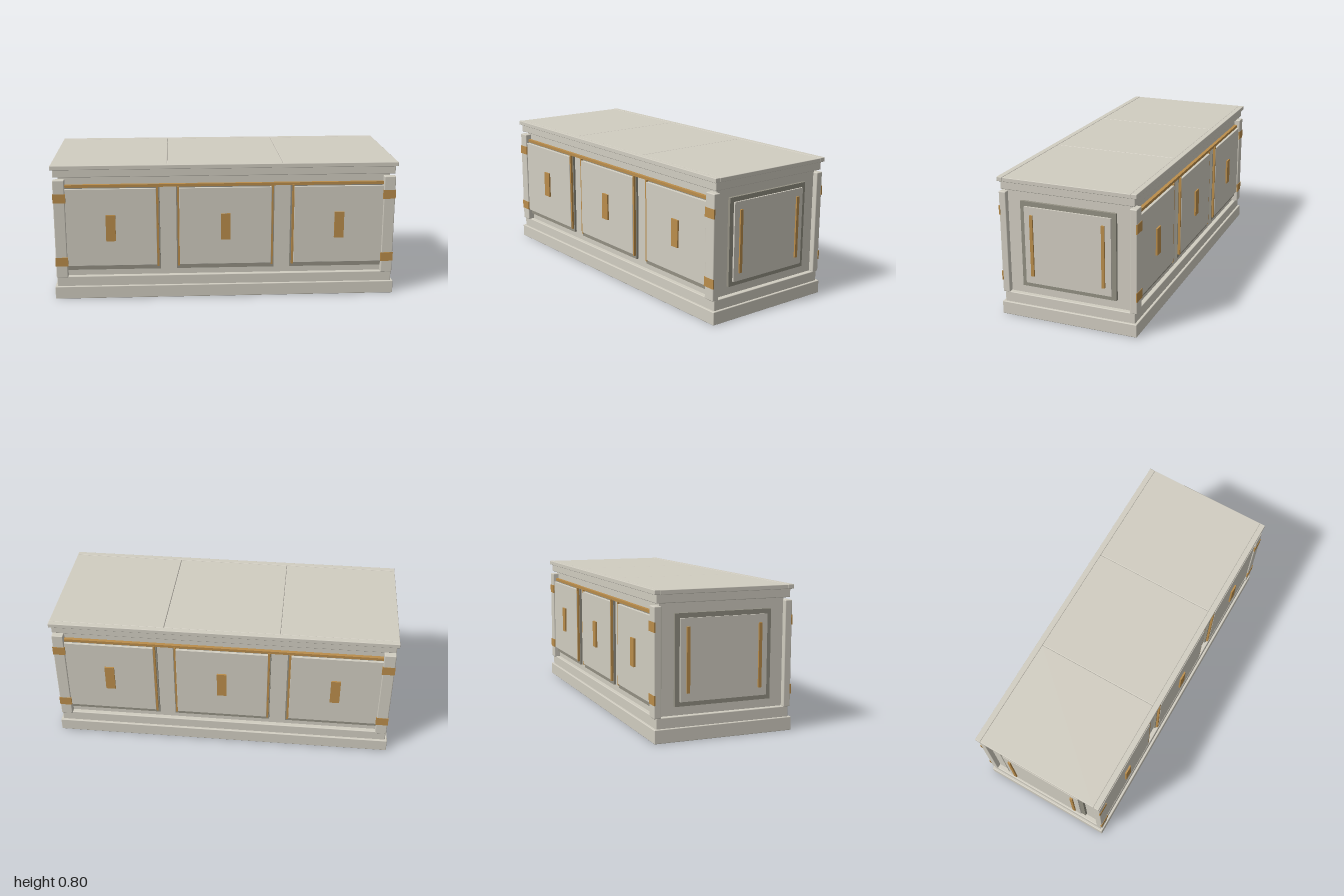
import * as THREE from 'three';
import { RoundedBoxGeometry } from 'three/addons/geometries/RoundedBoxGeometry.js';

const paint = new THREE.MeshStandardMaterial({ name: 'warm grey paint', color: 0xd1cdc1 });
const shade = new THREE.MeshStandardMaterial({ name: 'dark grey surround', color: 0x939083 });
const brass = new THREE.MeshStandardMaterial({ name: 'brass', color: 0xba8d4b });

// Box given by its limits on each axis; r rounds the edges
function block(parent, name, mat, [x0, x1], [y0, y1], [z0, z1], r = 0) {
  const s = [x1 - x0, y1 - y0, z1 - z0];
  const geo = r ? new RoundedBoxGeometry(...s, 2, r) : new THREE.BoxGeometry(...s);
  const mesh = new THREE.Mesh(geo, mat);
  mesh.name = name;
  mesh.position.set((x0 + x1) / 2, (y0 + y1) / 2, (z0 + z1) / 2);
  parent.add(mesh);
}

// Long face: raised doors on dark surrounds, brass trim, handles and corner posts
function longFace(name) {
  const g = new THREE.Group();
  g.name = name;

  const surrounds = [[-0.93, -0.38], [-0.285, 0.285], [0.38, 0.93]];
  const doors = [[-0.93, -0.4], [-0.268, 0.268], [0.4, 0.93]];
  doors.forEach((x, i) => {
    block(g, 'doorSurround', shade, surrounds[i], [0.17, 0.675], [0.35, 0.374]);
    block(g, 'doorPanel', paint, x, [0.198, 0.66], [0.36, 0.39], 0.002);
    const c = (i - 1) * 0.665;
    block(g, 'doorHandle', brass, [c - 0.028, c + 0.028], [0.35, 0.506], [0.385, 0.4]);
  });

  // Brass trim beside the doors and along their top
  for (const c of [-0.394, -0.273, 0.273, 0.394])
    block(g, 'doorTrim', brass, [c - 0.006, c + 0.006], [0.19, 0.67], [0.36, 0.387]);
  block(g, 'topTrim', brass, [-0.925, 0.925], [0.667, 0.683], [0.35, 0.38]);

  for (const s of [-1, 1]) {
    const span = (a, b) => (s > 0 ? [a, b] : [-b, -a]);
    block(g, 'cornerPost', paint, span(0.922, 0.989), [0.13, 0.715], [0.357, 0.398], 0.005);
    for (const y of [0.201, 0.582])
      block(g, 'postBand', brass, span(0.918, 0.991), [y, y + 0.053], [0.392, 0.4]);
  }
  return g;
}

// Short end: raised panel on a dark surround with two upright brass bars, built facing +z
function shortEnd(name) {
  const g = new THREE.Group();
  g.name = name;
  block(g, 'endSurround', shade, [-0.277, 0.277], [0.182, 0.673], [0.95, 0.976]);
  block(g, 'endPanel', paint, [-0.251, 0.251], [0.207, 0.647], [0.96, 0.986]);
  for (const c of [-0.208, 0.208])
    block(g, 'endBar', brass, [c - 0.009, c + 0.009], [0.252, 0.603], [0.98, 0.995]);
  return g;
}

export function createModel() {
  const model = new THREE.Group();
  model.name = 'sideboard';

  // Body with stepped base and cornice
  block(model, 'body', paint, [-0.96, 0.96], [0.1, 0.75], [-0.36, 0.36]);
  block(model, 'plinth', paint, [-1, 1], [0, 0.075], [-0.4, 0.4], 0.004);
  block(model, 'baseMoulding', paint, [-0.987, 0.987], [0.07, 0.133], [-0.386, 0.386], 0.004);
  block(model, 'cornice', paint, [-0.987, 0.987], [0.729, 0.778], [-0.386, 0.386], 0.004);

  // Top made of three slabs between two long edge strips
  for (const x of [[-1, -0.334], [-0.332, 0.332], [0.334, 1]])
    block(model, 'topSlab', paint, x, [0.775, 0.799], [-0.367, 0.367], 0.003);
  for (const z of [[0.367, 0.4], [-0.4, -0.367]])
    block(model, 'topEdge', paint, [-1, 1], [0.775, 0.8], z, 0.003);

  // Four sides
  const back = longFace('backFace');
  back.rotation.y = Math.PI;
  const leftEnd = shortEnd('leftEnd');
  leftEnd.rotation.y = Math.PI / 2;
  const rightEnd = shortEnd('rightEnd');
  rightEnd.rotation.y = -Math.PI / 2;
  model.add(longFace('frontFace'), back, leftEnd, rightEnd);
  return model;
}
